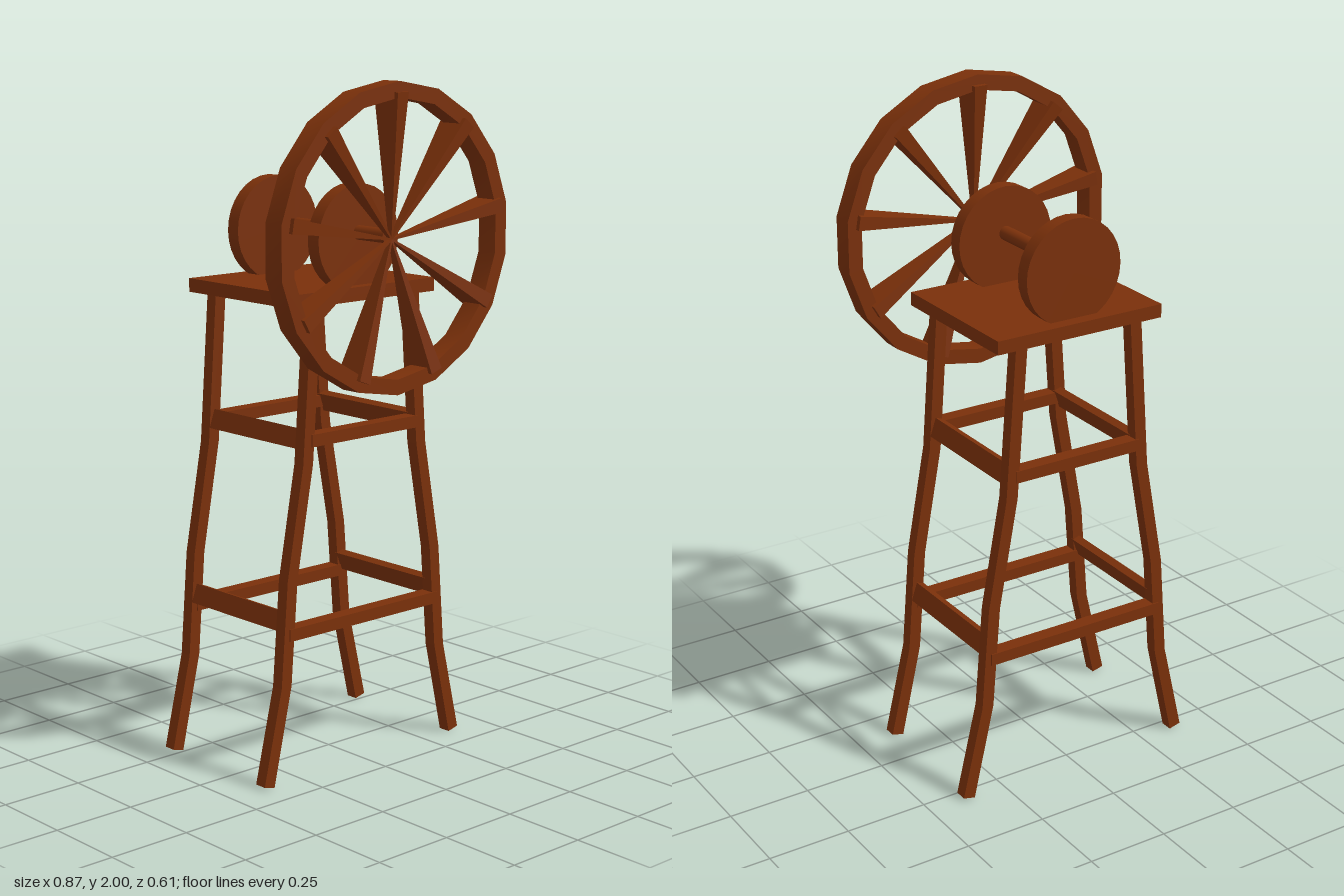
import * as THREE from 'three';
import { toCreasedNormals } from 'three/addons/utils/BufferGeometryUtils.js';

const wood = new THREE.MeshStandardMaterial({ color: 0x7a300a, flatShading: true });
const smoothWood = new THREE.MeshStandardMaterial({ color: 0x7a300a });

const FRONT_Z = 0.141, BACK_Z = -0.279; // leg centre lines

export function createModel() {
  const model = new THREE.Group();

  const add = (name, geometry, x, y, z, parent = model, material = wood) => {
    const mesh = new THREE.Mesh(geometry, material);
    mesh.name = name;
    mesh.position.set(x, y, z);
    parent.add(mesh);
    return mesh;
  };
  const box = (name, w, h, d, x, y, z) => add(name, new THREE.BoxGeometry(w, h, d), x, y, z);
  const extrude = (shape, depth) =>
    new THREE.ExtrudeGeometry(shape, { depth, bevelEnabled: false }).translate(0, 0, -depth / 2);

  // Bent legs: one outline, thickened either side of a centre line
  const line = [[0.373, 0.005], [0.307, 0.29], [0.283, 0.6], [0.223, 0.93], [0.19, 1.39]];
  const half = 0.0185;
  for (const side of [-1, 1]) {
    const outer = line.map(([x, y], i) => new THREE.Vector2(side * (x + half), i ? y : 0.009));
    const inner = line.map(([x, y], i) => new THREE.Vector2(side * (x - half), i ? y : 0));
    const shape = new THREE.Shape([...outer, ...inner.reverse()]);
    for (const z of [FRONT_Z, BACK_Z]) {
      add(`${z > 0 ? 'front' : 'back'}${side > 0 ? 'Left' : 'Right'}Leg`, extrude(shape, 0.038), 0, 0, z);
    }
  }

  // Two levels of stretchers; the thin side rails lean inwards between the legs
  const levels = [
    { name: 'lower', barY: 0.442, barW: 0.59, railY: 0.476, railX: 0.292 },
    { name: 'upper', barY: 0.997, barW: 0.42, railY: 0.997, railX: 0.217 },
  ];
  for (const { name, barY, barW, railY, railX } of levels) {
    for (const z of [FRONT_Z, BACK_Z]) box(`${name}CrossBar`, barW, 0.036, 0.045, 0, barY, z);
    for (const side of [-1, 1]) {
      box(`${name}SideRail`, 0.025, 0.058, 0.4, side * railX, railY, -0.069).rotation.z = side * 0.33;
    }
  }

  // Table top
  box('platform', 0.544, 0.04, 0.466, 0, 1.398, -0.073);

  // Upright discs carrying the axle
  for (const z of [0.106, -0.245]) {
    const disc = new THREE.CylinderGeometry(0.155, 0.155, 0.045, 32).rotateX(Math.PI / 2);
    add('supportDisc', disc, 0, 1.552, z, model, smoothWood);
  }
  const axle = new THREE.CylinderGeometry(0.021, 0.021, 0.485, 16).rotateX(Math.PI / 2);
  add('axle', axle, 0, 1.568, 0.005, model, smoothWood);

  // Wheel: 18-sided rim with nine tapering spokes
  const wheel = new THREE.Group();
  wheel.name = 'wheel';
  wheel.position.set(0, 1.56, 0.258);
  model.add(wheel);

  // Counter-clockwise ring of points with a corner at the top
  const ring = (r) => Array.from({ length: 18 }, (_, i) => {
    const angle = Math.PI / 2 + i * Math.PI / 9;
    return new THREE.Vector2(r * Math.cos(angle), r * Math.sin(angle));
  });
  const rim = new THREE.Shape(ring(0.44));
  rim.holes.push(new THREE.Path(ring(0.395)));
  add('rim', toCreasedNormals(extrude(rim, 0.066), 0.6), 0, 0, 0.001, wheel, smoothWood);

  const spoke = new THREE.CylinderGeometry(Math.SQRT1_2, Math.SQRT1_2 * 0.12, 0.41, 4)
    .rotateY(Math.PI / 4).scale(0.042, 1, 0.096).translate(0, 0.205, 0);
  for (let i = 0; i < 9; i++) {
    add('spoke', spoke, 0, 0, 0, wheel).rotation.z = i * Math.PI * 2 / 9;
  }

  return model;
}
